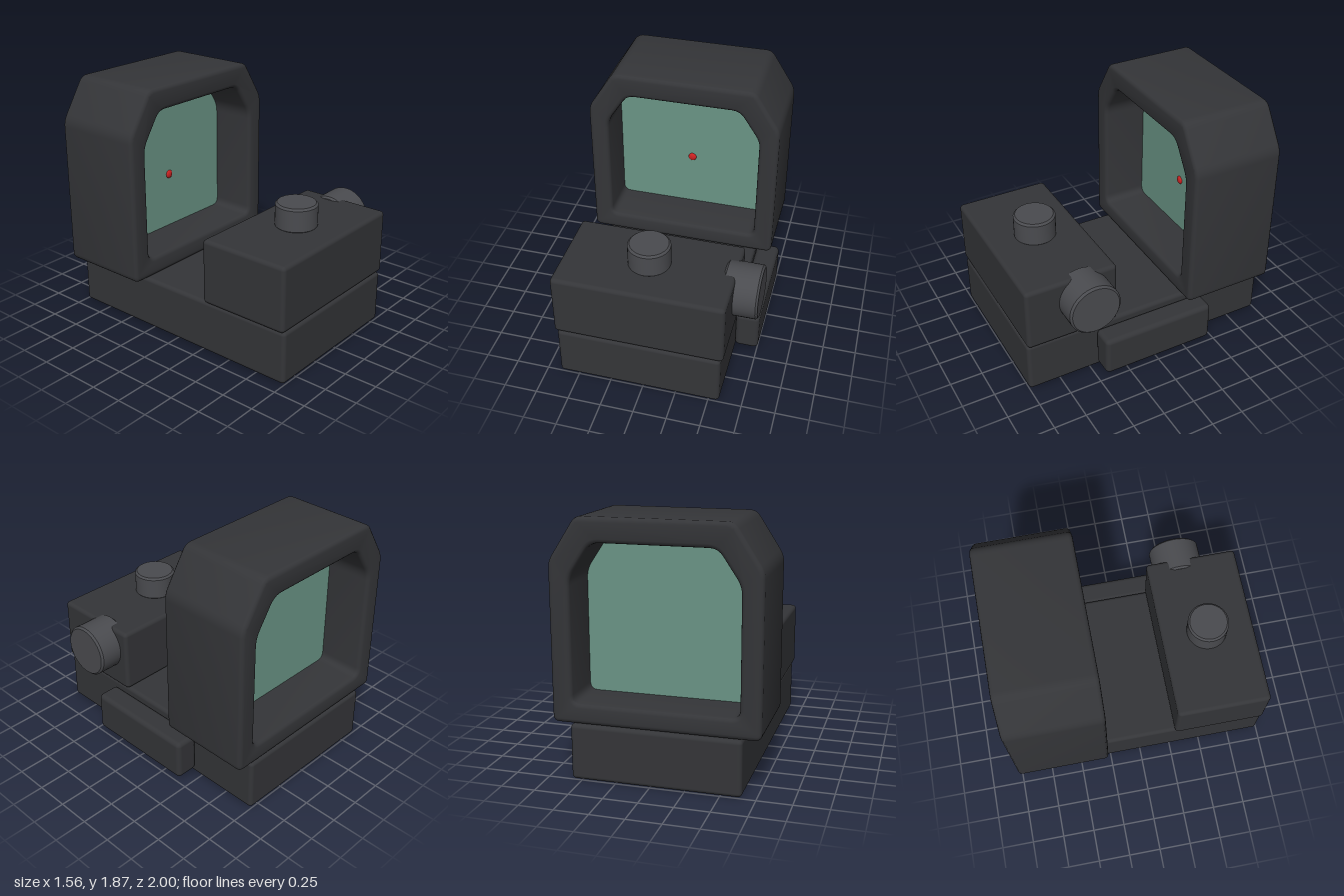
import * as THREE from 'three';
import { toCreasedNormals } from 'three/addons/utils/BufferGeometryUtils.js';
import { RoundedBoxGeometry } from 'three/addons/geometries/RoundedBoxGeometry.js';

const CX = -0.035; // centre line of the body
const body = new THREE.MeshStandardMaterial({ color: 0x343538 });
const knob = new THREE.MeshStandardMaterial({ color: 0x4a4b4f });
const glass = new THREE.MeshStandardMaterial({ color: 0x6a9485 });
const red = new THREE.MeshStandardMaterial({ color: 0xcc2222 });

function add(group, name, geometry, material, x = 0, y = 0, z = 0) {
  const mesh = new THREE.Mesh(geometry, material);
  mesh.name = name;
  mesh.position.set(x, y, z);
  group.add(mesh);
  return mesh;
}

// Rounded box given by its limits
function block(group, name, [x0, x1], [y0, y1], [z0, z1], radius) {
  const geo = new RoundedBoxGeometry(x1 - x0, y1 - y0, z1 - z0, 3, radius);
  return add(group, name, geo, body, (x0 + x1) / 2, (y0 + y1) / 2, (z0 + z1) / 2);
}

// Rectangle with two cut upper corners, every corner rounded by r
function windowOutline(path, halfW, bottom, top, cutX, cutY, r) {
  const pts = [
    [-halfW, bottom], [halfW, bottom], [halfW, top - cutY],
    [halfW - cutX, top], [-halfW + cutX, top], [-halfW, top - cutY],
  ].map(([x, y]) => new THREE.Vector2(x, y));
  pts.forEach((p, i) => {
    const toward = (q) => q.clone().sub(p).setLength(r).add(p);
    const a = toward(pts[(i + 5) % 6]);
    const b = toward(pts[(i + 1) % 6]);
    if (i === 0) path.moveTo(a.x, a.y);
    else path.lineTo(a.x, a.y);
    path.quadraticCurveTo(p.x, p.y, b.x, b.y);
  });
  path.closePath();
  return path;
}

// Turret knob with bevelled rims, standing on y = 0
function turret(radius, height, b = 0.015) {
  const profile = [
    [0, 0], [radius - b, 0], [radius, b], [radius, height - b], [radius - b, height], [0, height],
  ].map(([x, y]) => new THREE.Vector2(x, y));
  return toCreasedNormals(new THREE.LatheGeometry(profile, 40), 0.5);
}

export function createModel() {
  const model = new THREE.Group();
  model.name = 'reflexSight';

  // Lower body
  block(model, 'base', [-0.65, 0.58], [0, 0.41], [-1, 1], 0.03);
  block(model, 'rearHousing', [-0.67, 0.6], [0.41, 0.91], [0.28, 1], 0.03);
  block(model, 'sideClamp', [0.58, 0.76], [0.05, 0.365], [-0.45, 0.45], 0.035);

  // Hood: bevelled frame around the window
  const bevel = 0.03;
  const outline = windowOutline(new THREE.Shape(), 0.745, 0.415, 1.865, 0.2, 0.31, 0.05);
  outline.holes.push(windowOutline(new THREE.Path(), 0.595, 0.56, 1.69, 0.16, 0.24, 0.06));
  const hood = new THREE.ExtrudeGeometry(outline, {
    depth: 0.72 - 2 * bevel, curveSegments: 5, bevelEnabled: true,
    bevelThickness: bevel, bevelSize: bevel, bevelOffset: -bevel, bevelSegments: 3,
  });
  add(model, 'hood', toCreasedNormals(hood, 0.6), body, CX, 0, -1 + bevel);

  // Lens with the aiming dot on its front
  const lensShape = windowOutline(new THREE.Shape(), 0.63, 0.52, 1.725, 0.165, 0.25, 0.05);
  const lens = new THREE.ExtrudeGeometry(lensShape, { depth: 0.02, bevelEnabled: false, curveSegments: 5 });
  add(model, 'lens', lens, glass, CX, 0, -0.65);
  add(model, 'aimingDot', new THREE.SphereGeometry(0.033, 20, 12), red, CX, 1.0, -0.63).scale.z = 0.5;

  // Adjustment turrets
  add(model, 'topTurret', turret(0.157, 0.19), knob, CX, 0.9, 0.635);
  add(model, 'sideTurret', turret(0.2, 0.27), knob, 0.51, 0.73, 0.545).rotation.z = -Math.PI / 2;

  return model;
}
